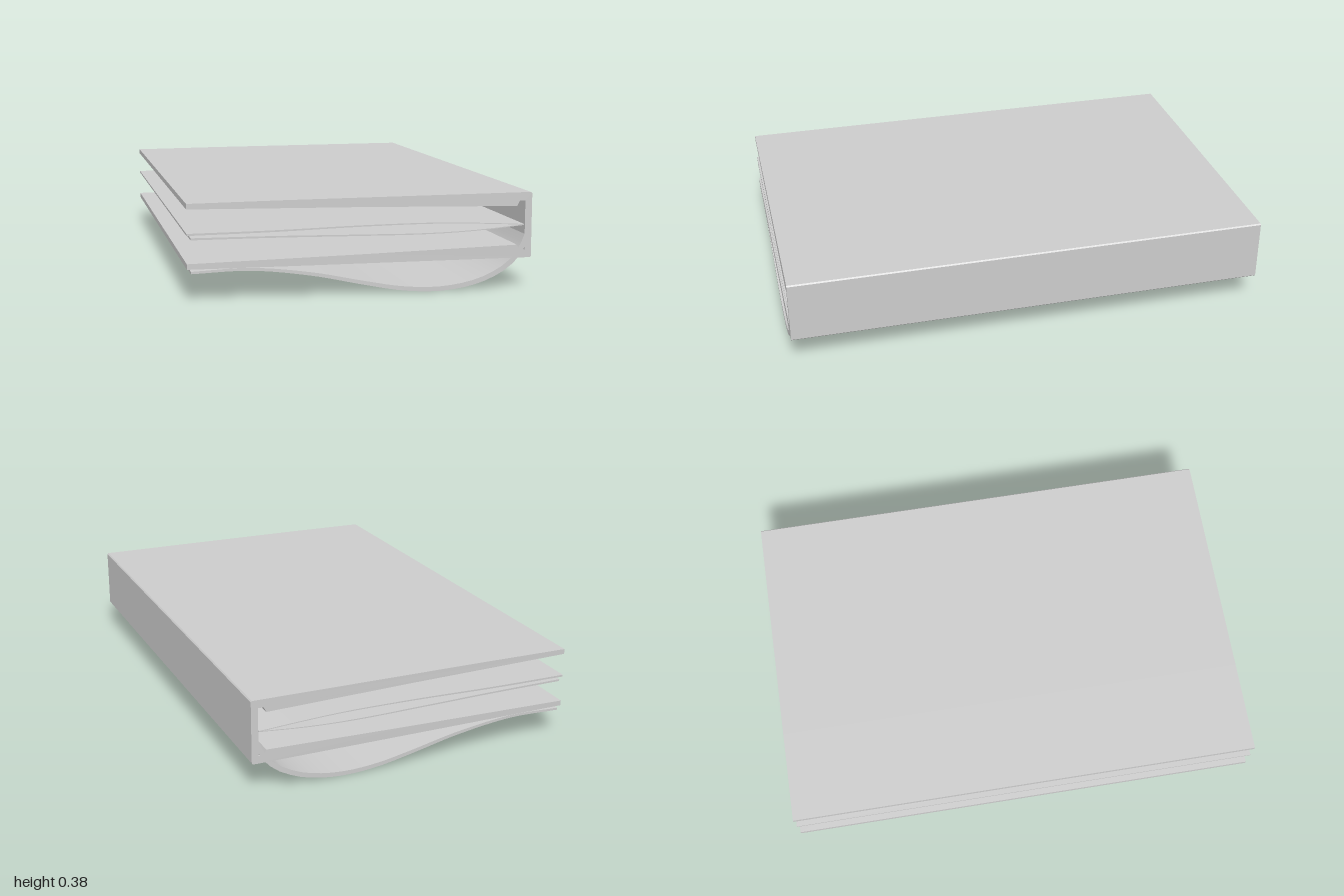
import * as THREE from 'three';
import { toCreasedNormals } from 'three/addons/utils/BufferGeometryUtils.js';

const DEPTH = 2;
const material = new THREE.MeshStandardMaterial({ color: 0xcccccc, side: THREE.DoubleSide });

// Extrude a closed x/y outline along the full length of the book
function slab(name, outline) {
  const shape = new THREE.Shape(outline.map(([x, y]) => new THREE.Vector2(x, y)));
  const geometry = new THREE.ExtrudeGeometry(shape, { depth: DEPTH, bevelEnabled: false });
  geometry.translate(0, 0, -DEPTH / 2);
  const mesh = new THREE.Mesh(toCreasedNormals(geometry, 0.6), material);
  mesh.name = name;
  return mesh;
}

// A thin bent sheet: a smooth centre line, thickened from t0 to t1
function sheet(name, points, t0, t1, segments) {
  const curve = new THREE.CatmullRomCurve3(points.map(([x, y]) => new THREE.Vector3(x, y, 0)));
  const upper = [], lower = [];
  for (let i = 0; i <= segments; i++) {
    const u = i / segments;
    const p = curve.getPointAt(u);
    const d = curve.getTangentAt(u);
    const h = THREE.MathUtils.lerp(t0, t1, u) / 2;
    upper.push([p.x - d.y * h, p.y + d.x * h]);
    lower.push([p.x + d.y * h, p.y - d.x * h]);
  }
  return slab(name, [...lower, ...upper.reverse()]);
}

export function createModel() {
  const book = new THREE.Group();
  book.name = 'book';

  // Cover: two tapering boards joined by the spine, notched at the hinges
  book.add(slab('cover', [
    [-0.683, 0.121], [-0.3, 0.119], [0.676, 0.116], [0.681, 0.121],
    [0.681, 0.371], [0.676, 0.376], [-0.3, 0.373], [-0.683, 0.37],
    [-0.683, 0.349], [0, 0.337], [0.62, 0.322], [0.63, 0.343], [0.653, 0.343],
    [0.653, 0.147], [0.632, 0.147], [0.622, 0.168], [0, 0.154], [-0.683, 0.142],
  ]));

  // Pair of inner pages bowing apart and meeting at the spine
  book.add(sheet('upperPage',
    [[-0.683, 0.253], [-0.35, 0.256], [0, 0.264], [0.3, 0.265], [0.5, 0.257], [0.65, 0.248]],
    0.008, 0.003, 20));
  book.add(sheet('lowerPage',
    [[-0.668, 0.236], [-0.35, 0.234], [0, 0.228], [0.25, 0.225], [0.45, 0.231], [0.65, 0.247]],
    0.008, 0.003, 20));

  // Loose sheet sagging below the book from the spine to the fore edge
  book.add(sheet('hangingSheet',
    [[-0.668, 0.108], [-0.44, 0.113], [-0.2, 0.084], [0, 0.042], [0.15, 0.014], [0.29, 0.005],
      [0.41, 0.017], [0.5, 0.043], [0.585, 0.09], [0.635, 0.145], [0.668, 0.218]],
    0.009, 0.022, 32));

  return book;
}
